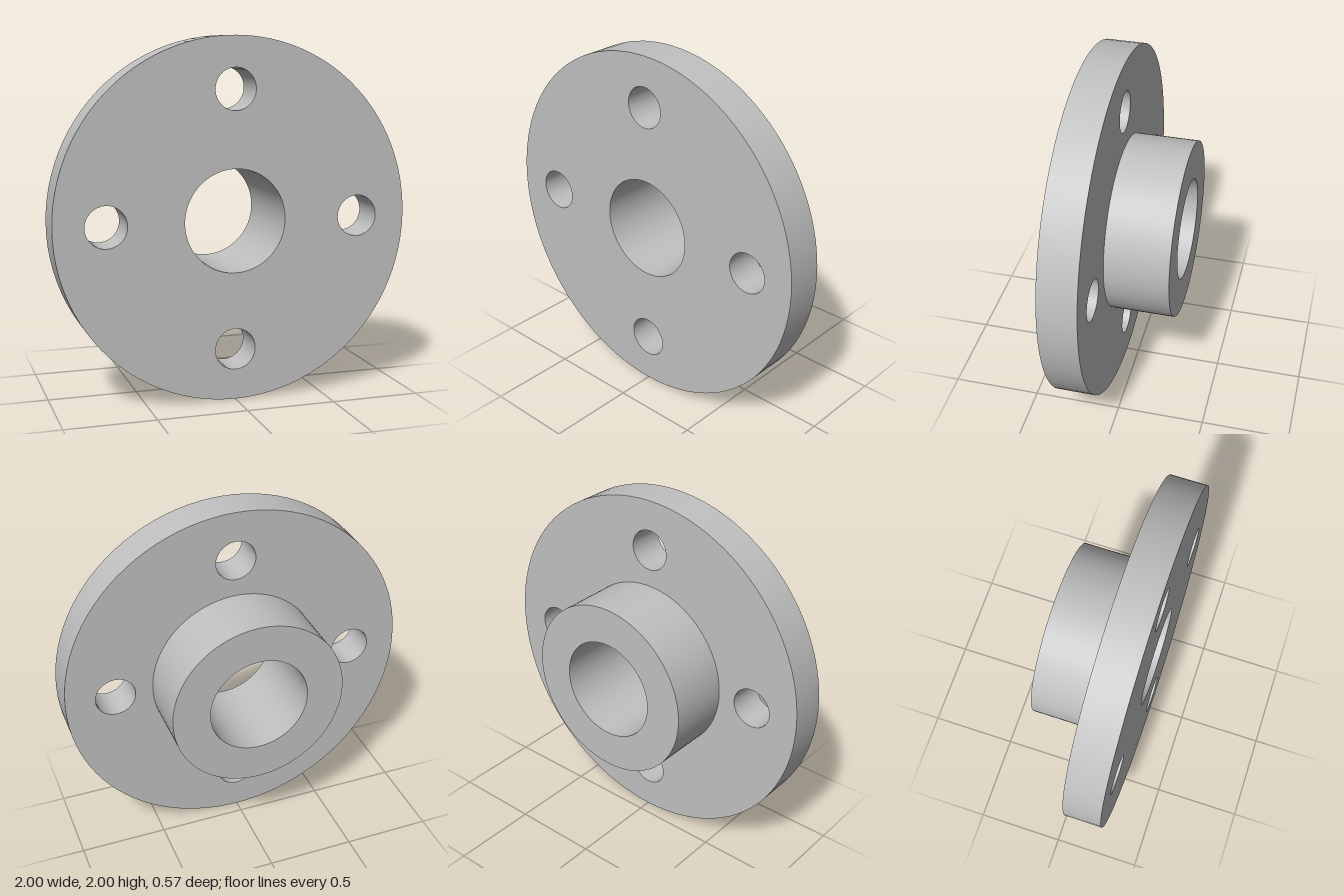
import * as THREE from 'three';

const SEGMENTS = 96;
const FLANGE_R = 1, HUB_R = 0.5, BORE_R = 0.286;
const BOLT_R = 0.115, BOLT_CIRCLE = 0.715;
const FRONT = 0.286, STEP = 0.072, BACK = -0.286;

export function createModel() {
  const model = new THREE.Group();
  model.name = 'pipeFlange';
  const metal = new THREE.MeshStandardMaterial({ color: 0xc0c0c0 });
  metal.name = 'grey metal';

  const bolts = [0, 1, 2, 3].map((i) => {
    const a = (i * Math.PI) / 2;
    return [BOLT_CIRCLE * Math.cos(a), BOLT_CIRCLE * Math.sin(a)];
  });

  const add = (name, geometry, x = 0, y = 0) => {
    const mesh = new THREE.Mesh(geometry, metal);
    mesh.name = name;
    mesh.position.set(x, y + FLANGE_R, 0);
    model.add(mesh);
  };

  // Round wall along z: outward when zStart < zEnd, inward when reversed
  const wall = (name, r, zStart, zEnd, x, y) => {
    const profile = [new THREE.Vector2(r, zStart), new THREE.Vector2(r, zEnd)];
    add(name, new THREE.LatheGeometry(profile, SEGMENTS).rotateX(Math.PI / 2), x, y);
  };

  // Flat disc with a centre hole and optional bolt holes
  const face = (name, r, holeR, z, facesBack, drilled) => {
    const shape = new THREE.Shape().absarc(0, 0, r, 0, Math.PI * 2);
    const cut = (x, y, hr) => shape.holes.push(new THREE.Path().absarc(x, y, hr, 0, Math.PI * 2));
    cut(0, 0, holeR);
    if (drilled) bolts.forEach(([x, y]) => cut(x, y, BOLT_R));
    const geometry = new THREE.ShapeGeometry(shape, SEGMENTS / 2);
    if (facesBack) geometry.rotateY(Math.PI);
    add(name, geometry.translate(0, 0, z));
  };

  // Flange plate
  face('flangeFront', FLANGE_R, BORE_R, FRONT, false, true);
  face('flangeBack', FLANGE_R, HUB_R, STEP, true, true);
  wall('flangeRim', FLANGE_R, STEP, FRONT);
  bolts.forEach(([x, y], i) => wall(`boltHole${i + 1}`, BOLT_R, FRONT, STEP, x, y));

  // Hub and the bore running right through
  wall('hubWall', HUB_R, BACK, STEP);
  face('hubEnd', HUB_R, BORE_R, BACK, true, false);
  wall('bore', BORE_R, FRONT, BACK);

  return model;
}
